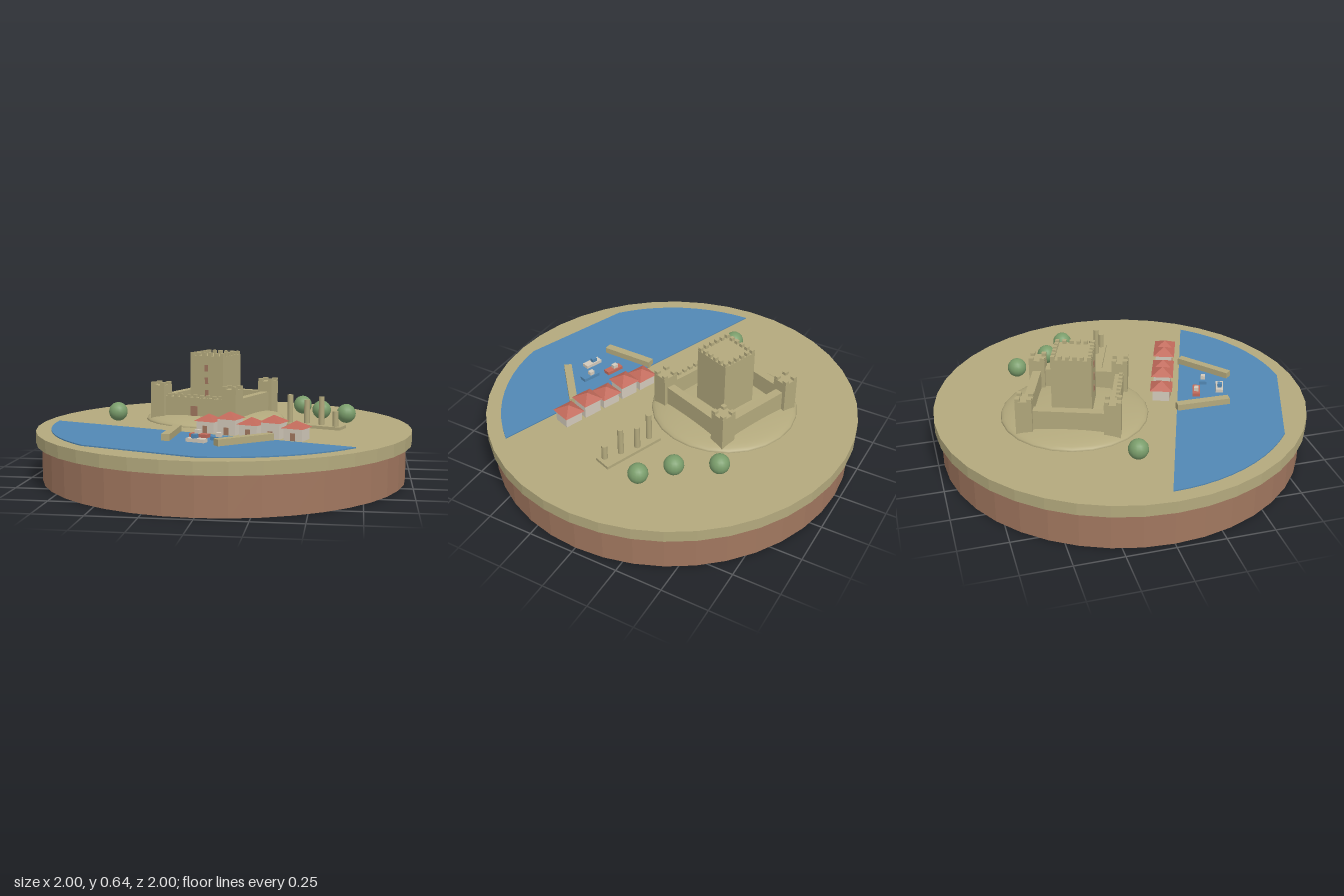
import * as THREE from 'three';

const TILT = -Math.PI / 9; // the whole town is turned by 20 degrees
const GROUND = 0.264;

const mat = (name, color, extra = {}) => {
  const m = new THREE.MeshStandardMaterial({ color, ...extra });
  m.name = name;
  return m;
};

export function createModel() {
  const model = new THREE.Group();
  model.name = 'castleTown';
  const sand = mat('sandstone', 0xb3a97d);
  const earth = mat('earth', 0xa1775f);
  const water = mat('water', 0x5288b4);
  const roofRed = mat('roofTile', 0xc0695a);
  const plaster = mat('plaster', 0xd3cabb);
  const leaf = mat('leaf', 0x7a9d6b);

  const add = (parent, name, geo, material, x = 0, y = 0, z = 0, ry = 0) => {
    const mesh = new THREE.Mesh(geo, material);
    mesh.name = name;
    mesh.position.set(x, y, z);
    mesh.rotation.y = ry;
    parent.add(mesh);
    return mesh;
  };
  // box given by its bottom and top heights
  const box = (parent, name, material, w, d, y0, y1, x = 0, z = 0, ry = 0) =>
    add(parent, name, new THREE.BoxGeometry(w, y1 - y0, d), material, x, (y0 + y1) / 2, z, ry);
  const group = (name, x, z, ry = TILT, parent = model) => {
    const g = new THREE.Group();
    g.name = name;
    g.position.set(x, 0, z);
    g.rotation.y = ry;
    parent.add(g);
    return g;
  };
  // square ring of battlement blocks, n per side
  const battlements = (parent, half, n, size, y0, y1) => {
    for (let i = 0; i < n - 1; i++) {
      const t = -half + (2 * half * i) / (n - 1);
      for (const [x, z] of [[t, -half], [half, t], [-t, half], [-half, -t]])
        box(parent, 'merlon', sand, size, size, y0, y1, x, z);
    }
  };

  // round plinth and ground slab
  const disc = (r, h) => {
    const g = new THREE.CylinderGeometry(r, r, h, 40).toNonIndexed();
    g.computeVertexNormals();
    return g;
  };
  add(model, 'plinth', disc(0.97, 0.2), earth, 0, 0.1, 0);
  add(model, 'ground', disc(1, GROUND - 0.2), sand, 0, (GROUND + 0.2) / 2, 0);

  // bay: two arcs of radius 0.92 joined by straight shores
  const bay = new THREE.Shape();
  const R = 0.92, rad = Math.PI / 180;
  for (const [from, to] of [[39.6, 90], [130, 180]])
    for (let i = 0; i <= 10; i++) {
      const a = (from + ((to - from) * i) / 10) * rad;
      const p = [R * Math.cos(a), -R * Math.sin(a)];
      if (from < 90 && i === 0) bay.moveTo(...p);
      else bay.lineTo(...p);
    }
  bay.closePath();
  const bayGeo = new THREE.ExtrudeGeometry(bay, { depth: 0.006, bevelEnabled: false });
  bayGeo.rotateX(-Math.PI / 2);
  add(model, 'bay', bayGeo, water, 0, GROUND, 0);

  // castle hill
  const hill = new THREE.SphereGeometry(0.39, 24, 10, 0, Math.PI * 2, 0, Math.PI / 2);
  hill.scale(1, 0.055 / 0.39, 1);
  add(model, 'hill', hill, sand, -0.088, GROUND, -0.273);

  // castle: keep, corner towers, curtain walls
  const castle = group('castle', -0.087, -0.273);
  box(castle, 'keep', sand, 0.208, 0.208, 0.27, 0.622);
  battlements(castle, 0.093, 6, 0.02, 0.62, 0.64);
  for (const y of [0.415, 0.485, 0.555])
    box(castle, 'keepWindow', earth, 0.02, 0.006, y - 0.018, y + 0.018, 0, 0.105);
  const C = 0.223;
  for (const sx of [-1, 1])
    for (const sz of [-1, 1]) {
      const tower = group('cornerTower', sx * C, sz * C, 0, castle);
      box(tower, 'towerBody', sand, 0.085, 0.085, 0.265, 0.464);
      battlements(tower, 0.03, 2, 0.024, 0.46, 0.48);
    }
  for (const s of [-1, 1]) {
    box(castle, 'crossWall', sand, 2 * C - 0.08, 0.045, 0.265, 0.405, 0, s * C);
    box(castle, 'sideWall', sand, 0.045, 2 * C - 0.08, 0.265, 0.405, s * C, 0);
  }
  for (let i = 0; i < 9; i++)
    box(castle, 'wallMerlon', sand, 0.02, 0.02, 0.403, 0.42, -0.16 + i * 0.04, C + 0.01);
  box(castle, 'gate', earth, 0.04, 0.006, 0.29, 0.36, 0, C + 0.024);

  // row of houses on the quay, alternating in height
  const row = group('houseRow', 0.184, 0.304);
  for (let i = 0; i < 5; i++) {
    const house = group('house', (i - 2) * 0.1235, 0, 0, row);
    const eave = i % 2 ? 0.345 : 0.325;
    box(house, 'houseBody', plaster, 0.1, 0.09, GROUND, eave);
    const roof = new THREE.CylinderGeometry(0, 0.118 / Math.SQRT2, 0.035, 4, 1).toNonIndexed();
    roof.rotateY(Math.PI / 4);
    roof.computeVertexNormals();
    add(house, 'roof', roof, roofRed, 0, eave + 0.0175, 0);
    box(house, 'door', earth, 0.026, 0.006, GROUND, 0.302, 0, 0.046);
  }

  // two piers
  box(model, 'pier', sand, 0.043, 0.29, GROUND, 0.303, -0.212, 0.4, -0.02);
  box(model, 'pier', sand, 0.32, 0.042, GROUND, 0.303, 0.173, 0.543, 39.6 * rad);

  // moored boats
  const boats = [[-0.065, 0.415, roofRed, plaster], [0.053, 0.495, water, plaster], [-0.058, 0.552, plaster, water]];
  for (const [x, z, hullMat, cabinMat] of boats) {
    const boat = group('boat', x, z);
    box(boat, 'hull', hullMat, 0.1, 0.04, 0.27, 0.288);
    box(boat, 'cabin', cabinMat, 0.028, 0.024, 0.288, 0.308, -0.01);
  }

  // ruined temple
  const ruin = group('ruin', 0.475, -0.014);
  box(ruin, 'ruinFloor', sand, 0.345, 0.095, GROUND, 0.28);
  const columns = [[0.353, -0.062, 0.43], [0.444, -0.046, 0.405], [0.524, 0.002, 0.43], [0.599, 0.051, 0.36]];
  for (const [x, z, top] of columns)
    add(model, 'column', new THREE.CylinderGeometry(0.015, 0.016, top - 0.27, 12), sand, x, (top + 0.27) / 2, z);

  // round trees
  for (const [x, z] of [[0.396, -0.49], [0.513, -0.297], [0.652, -0.174], [-0.604, -0.075]])
    add(model, 'tree', new THREE.SphereGeometry(0.052, 16, 12), leaf, x, 0.317, z);

  return model;
}
